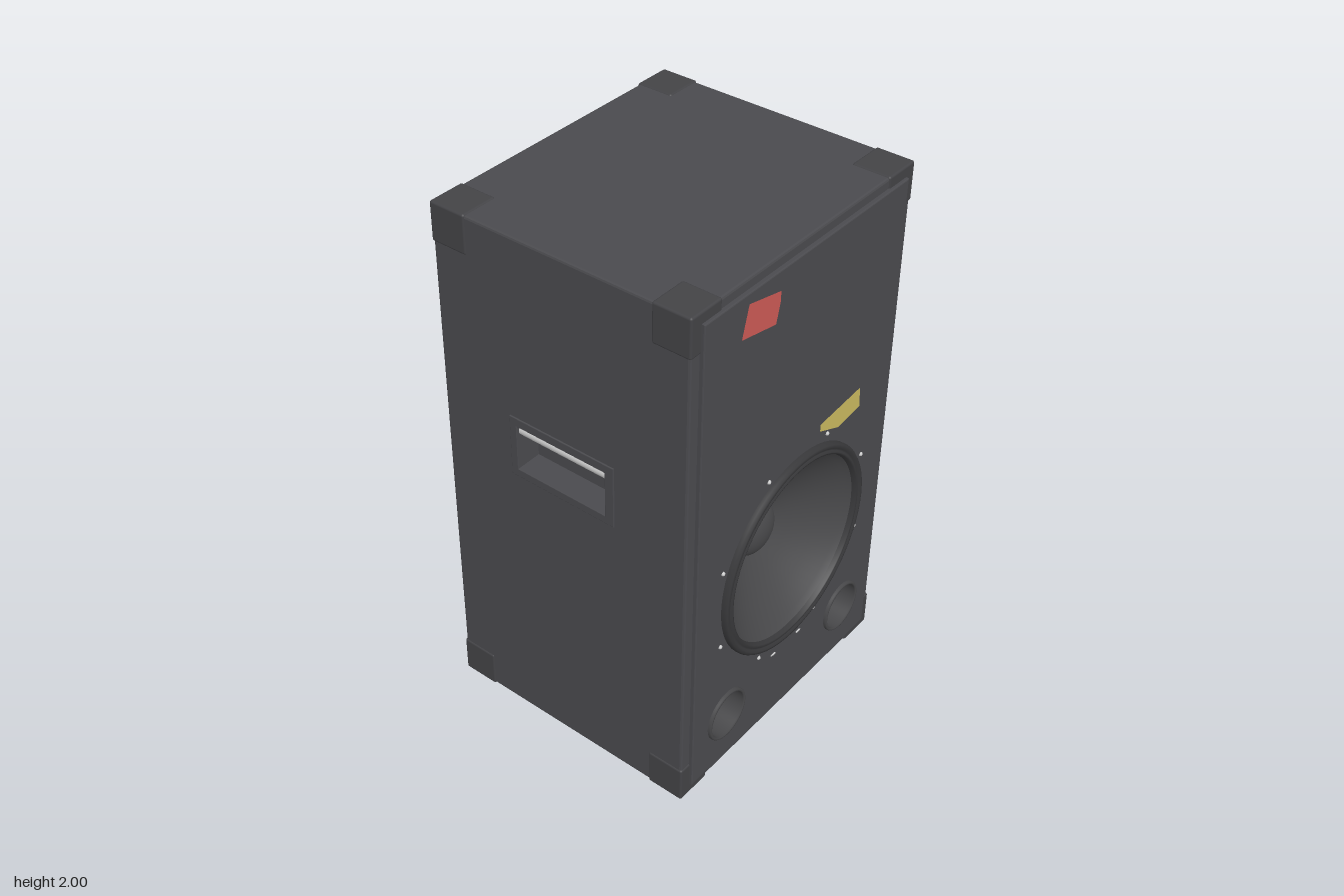
import * as THREE from 'three';
import { RoundedBoxGeometry } from 'three/addons/geometries/RoundedBoxGeometry.js';

const mat = (name, color, side = THREE.FrontSide) => {
  const m = new THREE.MeshStandardMaterial({ color, side });
  m.name = name;
  return m;
};

export function createModel() {
  const model = new THREE.Group();
  model.name = 'loudspeaker';
  const body = mat('charcoal', 0x4a4a4e);
  const trim = mat('dark trim', 0x434346);
  const cone = mat('cone grey', 0x48484a, THREE.DoubleSide);
  const rubber = mat('cable black', 0x38383a);
  const metal = mat('metal', 0xcccccc);
  const white = mat('white tape', 0xcacaca, THREE.DoubleSide);
  const red = mat('red tape', 0xcc5a55, THREE.DoubleSide);
  const yellow = mat('yellow tape', 0xc9b85f, THREE.DoubleSide);

  const add = (name, geo, material, parent = model) => {
    const mesh = new THREE.Mesh(geo, material);
    mesh.name = name;
    parent.add(mesh);
    return mesh;
  };
  const rect = (x0, x1, y0, y1, C = THREE.Shape) => new C([
    [x0, y0], [x1, y0], [x1, y1], [x0, y1]].map(p => new THREE.Vector2(...p)));
  const circle = (x, y, r) => new THREE.Path().absarc(x, y, r, 0, Math.PI * 2, true);
  // Bevelled slab from z0 to z1 with optional holes
  const slab = (shape, holes, z0, z1, b) => {
    shape.holes.push(...holes);
    return new THREE.ExtrudeGeometry(shape, {
      depth: z1 - z0 - 2 * b, bevelEnabled: b > 0, bevelThickness: b, bevelSize: b,
      bevelOffset: -b, bevelSegments: 2, curveSegments: 32,
    }).translate(0, 0, z0 + b);
  };
  // Profile [radius, z] turned about the z axis
  const turned = (pts, seg = 64) => new THREE.LatheGeometry(
    pts.map(p => new THREE.Vector2(...p)), seg).rotateX(Math.PI / 2);

  const X = 0.564, Y0 = 0.018, Y1 = 1.996, ZB = -0.343, ZF = 0.652, CY = 0.78;
  const portX = 0.342, portY = 0.266;
  const openings = () => [circle(0, CY, 0.37), circle(-portX, portY, 0.09), circle(portX, portY, 0.09)];

  // Cabinet core and front baffle
  add('cabinetRear', slab(rect(-0.47, 0.47, Y0, Y1), [], ZB, 0.38, 0.008), body);
  add('cabinetFront', slab(rect(-0.47, 0.47, Y0, Y1), openings(), 0.34, ZF, 0.008), body);
  add('baffle', slab(rect(-0.522, 0.522, 0.06, 1.96), openings(), 0.645, 0.668, 0.004), body);

  // Side walls with recessed carrying handles
  for (const s of [1, -1]) {
    const side = new THREE.Group();
    side.name = s > 0 ? 'leftSide' : 'rightSide';
    side.scale.x = s;
    model.add(side);
    const hole = () => rect(-0.335, 0.03, 1.12, 1.293, THREE.Path);
    add('sideWall', slab(rect(-ZF, -ZB, Y0, Y1), [hole()], 0.44, X, 0.008).rotateY(Math.PI / 2), body, side);
    add('handlePlate', slab(rect(-0.37, 0.058, 1.09, 1.325), [hole()], 0.55, 0.569, 0.002).rotateY(Math.PI / 2), body, side);
    add('handleBar', new THREE.CylinderGeometry(0.02, 0.02, 0.362, 20).rotateX(Math.PI / 2)
      .translate(0.54, 1.27, 0.153), metal, side);
  }

  // Corner protectors
  const c = 0.142, e = 0.004;
  for (const x of [-1, 1]) for (const y of [Y0 - e + c / 2, Y1 + e - c / 2]) for (const z of [ZB - e + c / 2, ZF + e - c / 2])
    add('cornerProtector', new RoundedBoxGeometry(c, c, c, 2, 0.008), trim).position.set(x * (X + e - c / 2), y, z);

  // Woofer: rim, surround, cone and dust cap
  const woofer = new THREE.Group();
  woofer.name = 'woofer';
  woofer.position.y = CY;
  model.add(woofer);
  add('rim', turned([[0.392, 0.66], [0.392, 0.68], [0.386, 0.689], [0.376, 0.691], [0.37, 0.684],
    [0.364, 0.684], [0.359, 0.69], [0.352, 0.688], [0.347, 0.672]]), rubber).position.y = CY;
  add('cone', turned([[0.35, 0.675], [0.33, 0.652], [0.26, 0.592], [0.18, 0.535], [0.1, 0.49]]), cone, woofer);
  add('dustCap', new THREE.SphereGeometry(0.107, 40, 14, 0, Math.PI * 2, 0, Math.PI / 2)
    .scale(1, 0.65, 1).rotateX(Math.PI / 2).translate(0, 0, 0.492), cone, woofer);
  for (let i = 0; i < 8; i++) {
    const a = (i + 0.5) * Math.PI / 4;
    add('screw', new THREE.SphereGeometry(0.008, 8, 6)
      .translate(0.422 * Math.cos(a), 0.422 * Math.sin(a), 0.668), metal, woofer);
  }
  for (const s of [-1, 1])
    add('badgePin', new THREE.BoxGeometry(0.022, 0.005, 0.006).translate(s * 0.075, 0.34, 0.669), metal);

  // Bass ports
  for (const s of [-1, 1]) {
    add('portRing', turned([[0.1, 0.66], [0.1, 0.676], [0.097, 0.68], [0.091, 0.68], [0.088, 0.676], [0.088, 0.6]], 40), cone)
      .position.set(s * portX, portY, 0);
    add('portFloor', new THREE.CircleGeometry(0.092, 40), body).position.set(s * portX, portY, 0.602);
  }

  // Rear connector plate and sockets
  add('connectorPlate', new THREE.BoxGeometry(0.28, 0.225, 0.012).translate(0, 0.728, -0.345), trim);
  for (const x of [-0.06, 0.055])
    add('socket', turned([[0.016, -0.355], [0.016, -0.366], [0.028, -0.366], [0.03, -0.362], [0.03, -0.345]].map(p => [p[0], p[1]]), 24), cone)
      .position.set(x, 0.728, 0);

  // Cable hanging from a socket and trailing on the ground
  const path = new THREE.CatmullRomCurve3([
    [0.055, 0.728, -0.345], [0.063, 0.71, -0.385], [0.077, 0.67, -0.445], [0.095, 0.59, -0.487],
    [0.115, 0.44, -0.52], [0.143, 0.2, -0.555], [0.16, 0.07, -0.577], [0.175, 0.018, -0.594],
    [0.215, 0.016, -0.618], [0.277, 0.018, -0.646], [0.34, 0.018, -0.667], [0.398, 0.017, -0.683],
  ].map(p => new THREE.Vector3(...p)));
  add('cable', new THREE.TubeGeometry(path, 80, 0.011, 10), rubber);
  add('cableEnd', new THREE.SphereGeometry(0.011, 10, 8), rubber).position.set(0.398, 0.017, -0.683);

  // Tape scraps on the front and on the left side
  const scrap = pts => new THREE.ShapeGeometry(new THREE.Shape(pts.map(p => new THREE.Vector2(...p))));
  add('redTape', scrap([[-0.322, 1.93], [-0.352, 1.82], [-0.182, 1.786], [-0.164, 1.86], [-0.165, 1.895]]), red).position.z = 0.674;
  add('yellowTape', scrap([[0.11, 1.238], [0.11, 1.21], [0.22, 1.163], [0.342, 1.178], [0.336, 1.258]]), yellow).position.z = 0.673;
  add('whiteTape', scrap([[-0.477, 1.75], [-0.408, 1.618], [-0.286, 1.688], [-0.35, 1.814]]).rotateY(Math.PI / 2), white).position.x = 0.567;

  return model;
}
